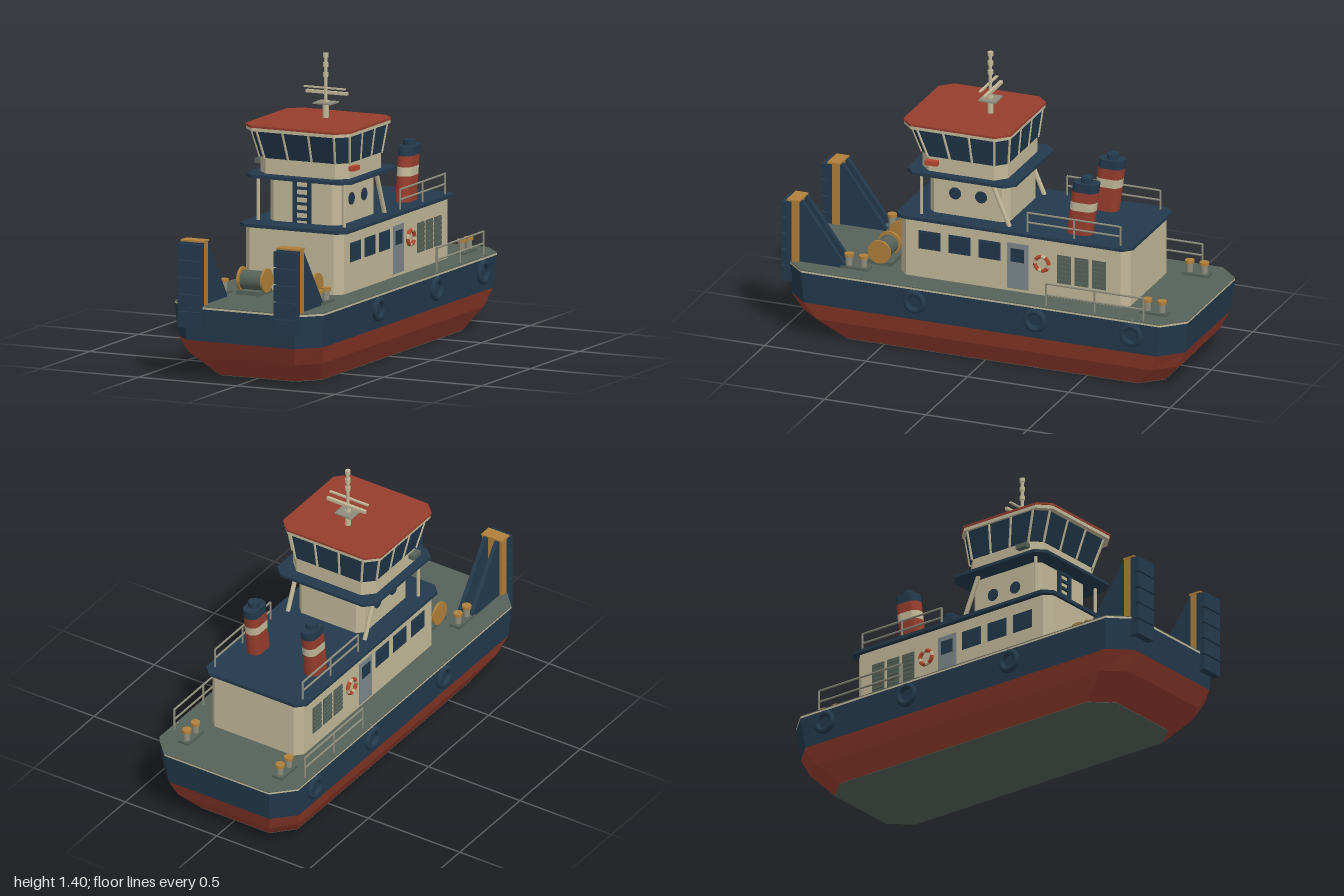
import * as THREE from 'three';

const mat = (name, color, side = THREE.FrontSide) => {
  const m = new THREE.MeshStandardMaterial({ color, side });
  m.name = name;
  return m;
};

export function createModel() {
  const red = mat('oxide red', 0x973d2d), navy = mat('navy', 0x233a4d), cream = mat('cream', 0xc2b898);
  const deck = mat('deck grey green', 0x566259), ochre = mat('ochre', 0xb07f3a), glass = mat('glass', 0x20374a);
  const doorGrey = mat('door grey', 0x7b868a), steel = mat('rail grey', 0x8d8c7c), buoyRed = mat('buoy red', 0xb5482f);
  const model = new THREE.Group();
  model.name = 'pushBoat';

  const add = (name, geo, m, x = 0, y = 0, z = 0) => {
    const mesh = new THREE.Mesh(geo, m);
    mesh.name = name;
    mesh.position.set(x, y, z);
    model.add(mesh);
    return mesh;
  };
  // Box given by its limits along each axis
  const box = (name, m, x0, x1, y0, y1, z0, z1) =>
    add(name, new THREE.BoxGeometry(Math.abs(x1 - x0), y1 - y0, z1 - z0), m, (x0 + x1) / 2, (y0 + y1) / 2, (z0 + z1) / 2);
  const cyl = (name, m, x, y, z, r, h, axis = 'y', n = 16) => {
    const c = add(name, new THREE.CylinderGeometry(r, r, h, n), m, x, y, z);
    if (axis === 'x') c.rotation.z = Math.PI / 2;
    return c;
  };
  const rod = (name, m, a, b, r) => {
    const p = new THREE.Vector3(...a), q = new THREE.Vector3(...b), d = q.clone().sub(p);
    const c = add(name, new THREE.CylinderGeometry(r, r, d.length(), 8), m);
    c.position.copy(p).add(q).multiplyScalar(0.5);
    c.quaternion.setFromUnitVectors(new THREE.Vector3(0, 1, 0), d.normalize());
  };
  // Rectangle in plan with cut corners
  const oct = (h, z0, z1, c, d = c) => [[h, z1 - d], [h, z0 + d], [h - c, z0], [c - h, z0],
    [-h, z0 + d], [-h, z1 - d], [c - h, z1], [h - c, z1]];
  // Faceted solid through plan outlines stacked in y
  const loft = (name, m, levels, x = 0) => {
    const pos = [], n = levels[0][1].length;
    const P = (k, i) => [levels[k][1][i % n][0], levels[k][0], levels[k][1][i % n][1]];
    for (let k = 0; k < levels.length - 1; k++)
      for (let i = 0; i < n; i++) {
        const a = P(k, i), b = P(k, i + 1), c = P(k + 1, i + 1), d = P(k + 1, i);
        pos.push(...a, ...b, ...c, ...a, ...c, ...d);
      }
    const t = levels.length - 1;
    for (let i = 1; i < n - 1; i++) {
      pos.push(...P(t, 0), ...P(t, i), ...P(t, i + 1));
      pos.push(...P(0, 0), ...P(0, i + 1), ...P(0, i));
    }
    const g = new THREE.BufferGeometry();
    g.setAttribute('position', new THREE.Float32BufferAttribute(pos, 3));
    g.computeVertexNormals();
    return add(name, g, m, x);
  };
  const slab = (name, m, y0, y1, outline) => loft(name, m, [[y0, outline], [y1, outline]]);

  // Hull
  const waterline = oct(0.37, -0.98, 0.96, 0.095, 0.1), sheer = oct(0.38, -1, 0.97, 0.095, 0.1);
  const keel = oct(0.28, -0.85, 0.785, 0.09, 0.1);
  slab('keelPlate', deck, 0, 0.002, keel);
  loft('lowerHull', red, [[0.002, keel], [0.1, oct(0.34, -0.94, 0.91, 0.09, 0.1)], [0.185, waterline]]);
  loft('upperHull', navy, [[0.185, waterline], [0.335, sheer]]);
  slab('gunwale', cream, 0.335, 0.344, sheer);
  slab('mainDeck', deck, 0.344, 0.348, sheer);

  // Deckhouse, upper cabin and wheelhouse
  slab('deckhouse', cream, 0.348, 0.632, oct(0.25, -0.69, 0.44, 0.035));
  slab('boatDeck', navy, 0.632, 0.647, oct(0.275, -0.71, 0.455, 0.04));
  slab('upperCabin', cream, 0.647, 0.853, oct(0.18, -0.07, 0.325, 0.03));
  slab('bridgeDeck', navy, 0.853, 0.867, oct(0.27, -0.13, 0.41, 0.045));
  slab('wheelhouseWall', cream, 0.867, 0.94, oct(0.227, -0.07, 0.352, 0.05));
  const sill = oct(0.23, -0.072, 0.355, 0.05), head = oct(0.253, -0.087, 0.405, 0.055);
  loft('wheelhouseWindows', glass, [[0.94, sill], [1.075, head]]);
  sill.forEach((a, i) => {
    const j = (i + 1) % 8;
    for (const t of i % 2 ? [0] : [0, 1 / 3, 2 / 3]) {
      const at = (r, y) => [r[i][0] + (r[j][0] - r[i][0]) * t, y, r[i][1] + (r[j][1] - r[i][1]) * t];
      rod('windowMullion', cream, at(sill, 0.938), at(head, 1.077), 0.006);
    }
  });
  slab('roofEdge', cream, 1.074, 1.09, oct(0.265, -0.095, 0.43, 0.055));
  slab('roof', red, 1.09, 1.1, oct(0.268, -0.097, 0.433, 0.055));

  // Front ladder
  for (const s of [-1, 1]) box('ladderRail', navy, s * 0.03, s * 0.044, 0.647, 0.85, 0.325, 0.34);
  for (let i = 0; i < 6; i++) box('ladderRung', navy, -0.03, 0.03, 0.66 + i * 0.036, 0.672 + i * 0.036, 0.327, 0.338);

  // Mast with radar bars and lamps
  const mz = 0.09;
  cyl('mastFoot', cream, 0, 1.14, mz, 0.014, 0.08);
  cyl('mast', cream, 0, 1.25, mz, 0.008, 0.28);
  box('mastPlatform', steel, -0.046, 0.046, 1.166, 1.173, mz - 0.042, mz + 0.042);
  box('radarBar', cream, -0.105, 0.105, 1.208, 1.222, mz - 0.02, mz - 0.004);
  box('upperRadarBar', cream, -0.105, 0.105, 1.236, 1.243, mz + 0.004, mz + 0.016);
  for (const y of [1.3, 1.345, 1.39]) cyl('mastLamp', cream, 0, y, mz, 0.013, 0.02);

  const railing = (x, y, h, z0, z1) => {
    for (let i = 0; i < 3; i++) {
      const z = z0 + (z1 - z0) * i / 2;
      rod('railPost', steel, [x, y, z], [x, y + h, z], 0.005);
    }
    for (const k of [0.5, 1]) rod('handrail', steel, [x, y + h * k, z0], [x, y + h * k, z1], 0.005);
  };
  // Funnel outline: round-ended, leaning aft with height
  const capsule = (y) => {
    const lean = -0.417 - (y - 0.647) * 0.13;
    return Array.from({ length: 24 }, (_, i) => {
      const t = (i + 0.5) / 24 * Math.PI * 2;
      return [Math.cos(t) * 0.038, lean - Math.sin(t) * 0.038 - Math.sign(Math.sin(t)) * 0.026];
    });
  };
  const bracket = new THREE.Shape([[0.92, 0.345], [0.92, 0.645], [0.9, 0.645], [0.69, 0.36], [0.69, 0.345]]
    .map(p => new THREE.Vector2(...p)));
  const bracketGeo = new THREE.ExtrudeGeometry(bracket, { depth: 0.02, bevelEnabled: false });
  bracketGeo.rotateY(-Math.PI / 2).translate(0.01, 0, 0);

  for (const s of [-1, 1]) {
    // Push knee
    const kx = s * 0.245;
    box('kneePost', ochre, kx - 0.055, kx + 0.055, 0.345, 0.645, 0.915, 0.95);
    box('kneeCap', ochre, kx - 0.057, kx + 0.057, 0.643, 0.651, 0.91, 0.973);
    box('kneeFace', navy, kx - 0.053, kx + 0.053, 0.25, 0.643, 0.945, 0.978);
    for (let i = 0; i < 5; i++)
      box('kneePad', navy, kx - 0.057, kx + 0.057, 0.25 + i * 0.079, 0.322 + i * 0.079, 0.975, 1);
    for (const o of [-0.031, 0.031]) add('kneeBracket', bracketGeo, navy, kx + o);

    // Winch
    box('winchBase', deck, s * 0.07, s * 0.19, 0.346, 0.368, 0.5, 0.62);
    cyl('winchDrum', deck, s * 0.129, 0.41, 0.56, 0.045, 0.12, 'x', 24);
    for (const x of [0.068, 0.19]) cyl('winchFlange', ochre, s * x, 0.413, 0.56, 0.056, 0.011, 'x', 24);

    // Bollards
    for (const [x, z] of [[0.26, 0.645], [0.255, -0.825]]) {
      box('bollardBase', deck, s * (x - 0.028), s * (x + 0.028), 0.346, 0.36, z - 0.066, z + 0.066);
      for (const o of [-0.036, 0.036]) {
        cyl('bollard', steel, s * x, 0.38, z + o, 0.016, 0.05);
        cyl('bollardCap', ochre, s * x, 0.408, z + o, 0.022, 0.014);
      }
    }

    // Tyre fenders
    for (const z of [0.31, -0.285, -0.76]) {
      add('tyreFender', new THREE.TorusGeometry(0.043, 0.015, 10, 24), navy, s * 0.38, 0.277, z).rotation.y = Math.PI / 2;
      rod('fenderRope', steel, [s * 0.385, 0.32, z], [s * 0.372, 0.35, z], 0.004);
    }

    // Deckhouse windows, door, lifebuoy and vents
    const plate = (name, m, z0, z1, y0, y1, t) => box(name, m, s * 0.249, s * (0.25 + t), y0, y1, z0, z1);
    for (const z of [0.288, 0.14, -0.008]) {
      plate('windowFrame', navy, z - 0.054, z + 0.054, 0.488, 0.577, 0.003);
      plate('window', glass, z - 0.047, z + 0.047, 0.495, 0.57, 0.006);
    }
    plate('door', doorGrey, -0.2, -0.097, 0.362, 0.585, 0.005);
    plate('doorWindow', glass, -0.18, -0.115, 0.495, 0.56, 0.008);
    for (let i = 0; i < 8; i++) {
      const arc = add('lifebuoy', new THREE.TorusGeometry(0.034, 0.009, 8, 6, Math.PI / (i % 2 ? 6 : 3)), i % 2 ? cream : buoyRed, s * 0.257, 0.507, -0.268);
      arc.rotation.order = 'YXZ';
      arc.rotation.set(0, Math.PI / 2, Math.floor(i / 2) * Math.PI / 2 + (i % 2 ? Math.PI / 3 : 0));
    }
    for (const z of [-0.375, -0.462, -0.549]) {
      plate('vent', deck, z - 0.034, z + 0.034, 0.422, 0.56, 0.004);
      for (let i = 0; i < 6; i++) plate('ventSlat', deck, z - 0.03, z + 0.03, 0.431 + i * 0.022, 0.441 + i * 0.022, 0.009);
    }

    // Portholes, sidelights and bridge deck supports
    for (const z of [0.19, 0.062]) {
      cyl('portholeRim', navy, s * 0.181, 0.755, z, 0.029, 0.006, 'x', 24);
      cyl('porthole', glass, s * 0.182, 0.755, z, 0.023, 0.01, 'x', 24);
    }
    box('sidelight', s > 0 ? buoyRed : deck, s * 0.226, s * 0.255, 0.904, 0.926, 0.25, 0.31);
    rod('supportPost', cream, [s * 0.22, 0.645, 0.34], [s * 0.22, 0.855, 0.34], 0.008);
    rod('supportStrut', cream, [s * 0.21, 0.645, -0.09], [s * 0.21, 0.857, 0], 0.011);

    // Funnel in painted bands
    [[0.647, 0.765, red], [0.765, 0.807, cream], [0.807, 0.857, red], [0.857, 0.9, navy]].forEach(([a, b, m]) =>
      loft('funnelBand', m, [[a, capsule(a)], [b, capsule(b)]], s * 0.157));
    cyl('exhaustPipe', navy, s * 0.157, 0.908, -0.45, 0.028, 0.034, 'y', 20);

    railing(s * 0.24, 0.645, 0.095, -0.65, -0.19);
    railing(s * 0.357, 0.346, 0.11, -0.81, -0.33);
  }
  return model;
}
